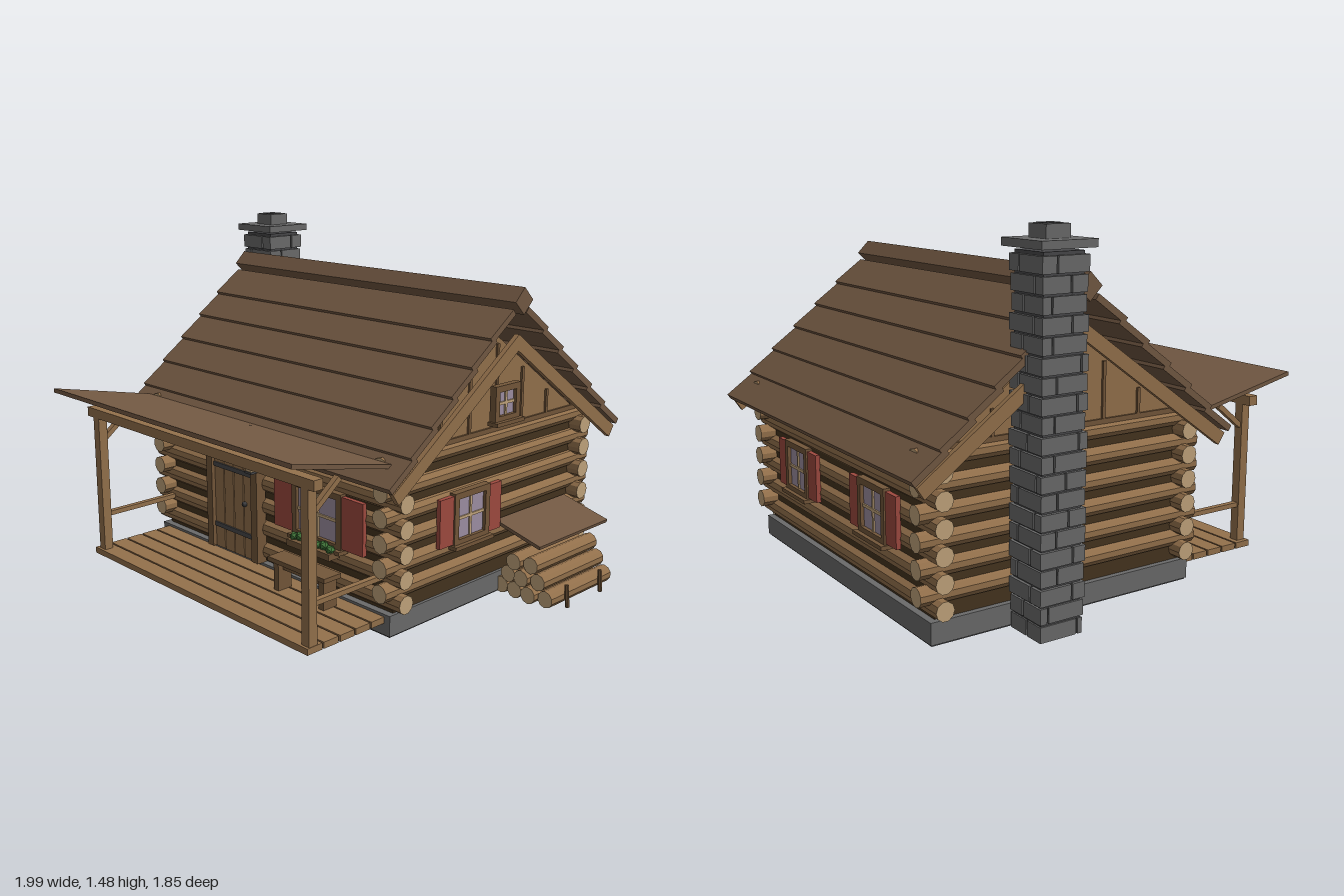
import * as THREE from 'three';

const mat = (name, color) => Object.assign(new THREE.MeshStandardMaterial({ color, flatShading: true }), { name });
const M = {
  log: mat('log wood', 0x94714c), end: mat('cut wood', 0xc2a57c), dark: mat('dark chinking', 0x45341f),
  roof: mat('roof boards', 0x735943), trim: mat('trim wood', 0x74573a), stone: mat('stone', 0x6b6b6b),
  glass: mat('glass', 0x9f90a4), shutter: mat('shutter red', 0xa04a40), leaf: mat('leaf green', 0x447a3c),
  iron: mat('iron', 0x48484a),
};

function add(parent, name, geo, m, x = 0, y = 0, z = 0) {
  const mesh = new THREE.Mesh(geo, m);
  mesh.name = name;
  mesh.position.set(x, y, z);
  parent.add(mesh);
  return mesh;
}
// Box given by its two ends on each axis
const span = (p, name, m, x0, x1, y0, y1, z0, z1) =>
  add(p, name, new THREE.BoxGeometry(x1 - x0, y1 - y0, z1 - z0), m, (x0 + x1) / 2, (y0 + y1) / 2, (z0 + z1) / 2);
// Round log with pale cut ends, lying along x or z
function log(p, name, axis, len, r, x, y, z) {
  const g = new THREE.CylinderGeometry(r, r, len, 10);
  if (axis === 'x') g.rotateZ(Math.PI / 2); else g.rotateX(Math.PI / 2);
  return add(p, name, g, [M.log, M.end, M.end], x, y, z);
}
// Outline in (z, y) extruded along x
function profile(p, name, pts, m, x, depth, z) {
  const s = new THREE.Shape(pts.map(a => new THREE.Vector2(a[0], a[1])));
  const g = new THREE.ExtrudeGeometry(s, { depth, bevelEnabled: false });
  g.rotateY(Math.PI / 2);
  return add(p, name, g, m, x, 0, z);
}
function group(parent, name) {
  const g = new THREE.Group();
  g.name = name;
  parent.add(g);
  return g;
}
// Paned window facing +z, with optional shutters of width sw
function windowUnit(parent, name, w, h, sw = 0) {
  const g = group(parent, name), b = 0.026;
  span(g, 'glass', M.glass, -w / 2 + b, w / 2 - b, -h / 2 + b, h / 2 - b, 0, 0.012);
  for (const s of [-1, 1]) {
    add(g, 'frameSide', new THREE.BoxGeometry(b, h, 0.03), M.trim, s * (w - b) / 2, 0, 0.012);
    add(g, 'frameRail', new THREE.BoxGeometry(w, b, 0.03), M.trim, 0, s * (h - b) / 2, 0.012);
    if (sw) add(g, 'shutter', new THREE.BoxGeometry(sw, h - 0.02, 0.02), M.shutter, s * (w + sw) / 2, 0, 0.01);
  }
  add(g, 'muntin', new THREE.BoxGeometry(0.012, h - 2 * b, 0.008), M.end, 0, 0, 0.014);
  add(g, 'muntin', new THREE.BoxGeometry(w - 2 * b, 0.012, 0.008), M.end, 0, 0, 0.014);
  add(g, 'sill', new THREE.BoxGeometry(w + 0.02, 0.016, 0.05), M.trim, 0, -h / 2 - 0.002, 0.02);
  return g;
}

function buildWalls(root) {
  const g = group(root, 'walls');
  span(g, 'foundation', M.stone, -0.78, 0.69, 0.01, 0.095, -0.8, 0.405);
  span(g, 'foundationBase', M.iron, -0.775, 0.685, 0.004, 0.012, -0.795, 0.4);
  span(g, 'chinking', M.dark, -0.757, 0.677, 0.09, 0.72, -0.772, 0.375);
  for (let i = 0; i < 6; i++) {
    for (const z of [0.363, -0.763]) log(g, 'longLog', 'x', 1.555, 0.038, -0.042, 0.143 + i * 0.1, z);
    for (const x of [-0.745, 0.665]) log(g, 'sideLog', 'z', 1.28, 0.038, x, 0.188 + i * 0.1, -0.2);
  }
  // Gable ends with battens, mirrored about the house centre
  for (const s of [-1, 1]) {
    const at = d => -0.04 + s * d;
    profile(g, 'gable', [[-0.55, 0.71], [0.55, 0.71], [0, 1.1]], M.log, at(0.705) - 0.02, 0.04, -0.2);
    add(g, 'gableSill', new THREE.BoxGeometry(0.015, 0.02, 1.08), M.trim, at(0.727), 0.722, -0.2);
    for (const d of [-0.335, -0.165, 0, 0.165, 0.335])
      span(g, 'batten', M.trim, at(0.728) - 0.006, at(0.728) + 0.006, 0.725, 1.07 - 0.71 * Math.abs(d), -0.207 + d, -0.193 + d);
  }
}

function buildRoof(root) {
  const g = group(root, 'roof'), tilt = 0.62;
  for (const s of [-1, 1]) {
    for (let i = 0; i < 6; i++) {
      const b = add(g, 'roofBoard', new THREE.BoxGeometry(1.677, 0.026, 0.165), M.roof,
        -0.042, 0.69 + i * 0.095, -0.2 + s * (0.652 - i * 0.109));
      b.rotation.x = s * tilt;
    }
    // Rake boards under the roof edges
    profile(g, 'rakeBoard', [[0, 1.12], [-0.7, 0.625], [-0.67, 0.58], [0, 1.055], [0.67, 0.58], [0.7, 0.625]],
      M.log, -0.04 + s * 0.82 - 0.011, 0.022, -0.2);
  }
  add(g, 'ridgeBeam', new THREE.BoxGeometry(1.7, 0.076, 0.076), M.roof, -0.04, 1.253, -0.2).rotation.x = Math.PI / 4;
}

function buildChimney(root) {
  const g = group(root, 'chimney'), cx = -0.88, cz = -0.373, n = 20, h = 0.069;
  let seed = 7;
  const rnd = () => (seed = (seed * 16807) % 2147483647) / 2147483647;
  span(g, 'mortar', M.iron, cx - 0.086, cx + 0.086, 0.008, 1.39, cz - 0.086, cz + 0.086);
  for (let i = 0; i < n; i++) {
    const y0 = 0.006 + i * h, y1 = y0 + h - 0.009, e = 0.092 + rnd() * 0.008, c = (rnd() - 0.5) * 0.07;
    // Courses of four stones, with the joints shifting from row to row
    const jx = (i % 2 ? 0.035 : -0.035) + c, jz = (i % 2 ? -0.04 : 0.04) + c;
    for (const [x0, x1] of [[-e, jx - 0.004], [jx + 0.004, e]])
      for (const [z0, z1] of [[-e, jz - 0.004], [jz + 0.004, e]])
        span(g, 'stone', M.stone, cx + x0, cx + x1, y0, y1, cz + z0, cz + z1);
  }
  span(g, 'capStone', M.stone, cx - 0.12, cx + 0.12, 1.4, 1.43, cz - 0.118, cz + 0.118);
  span(g, 'flue', M.stone, cx - 0.052, cx + 0.052, 1.43, 1.48, cz - 0.052, cz + 0.052);
  span(g, 'flueOpening', M.iron, cx - 0.033, cx + 0.033, 1.475, 1.483, cz - 0.033, cz + 0.033);
}

function buildPorch(root) {
  const g = group(root, 'porch');
  for (let i = 0; i < 5; i++) span(g, 'deckPlank', M.log, -0.74, 0.66, 0.058, 0.084, 0.727 - i * 0.082, 0.801 - i * 0.082);
  for (const x of [-0.7, 0.638]) {
    span(g, 'post', M.log, x - 0.02, x + 0.02, 0.08, 0.69, 0.75, 0.79);
    span(g, 'sideRail', M.log, x - 0.012, x + 0.012, 0.232, 0.252, 0.4, 0.76);
    add(g, 'brace', new THREE.BoxGeometry(0.024, 0.16, 0.022), M.log, x, 0.638, 0.69).rotation.x = -0.9;
  }
  span(g, 'beam', M.log, -0.76, 0.69, 0.682, 0.722, 0.748, 0.792);
  add(g, 'porchRoof', new THREE.BoxGeometry(1.53, 0.017, 0.515), M.roof, -0.04, 0.755, 0.672).rotation.x = -0.21;
  // Bench
  span(g, 'benchSeat', M.trim, 0.14, 0.475, 0.203, 0.222, 0.455, 0.545);
  for (const x of [0.18, 0.445]) span(g, 'benchLeg', M.trim, x - 0.014, x + 0.014, 0.084, 0.203, 0.465, 0.535);
  span(g, 'benchStretcher', M.trim, 0.18, 0.445, 0.17, 0.186, 0.49, 0.51);
  // Lantern
  span(g, 'lanternGlass', M.end, -0.042, -0.008, 0.53, 0.58, 0.468, 0.502);
  span(g, 'lanternBase', M.iron, -0.046, -0.004, 0.522, 0.531, 0.464, 0.506);
  add(g, 'lanternCap', new THREE.ConeGeometry(0.032, 0.025, 4), M.iron, -0.025, 0.592, 0.485).rotation.y = Math.PI / 4;
  add(g, 'lanternHook', new THREE.CylinderGeometry(0.004, 0.004, 0.13, 6), M.iron, -0.025, 0.66, 0.485);
}

function buildOpenings(root) {
  const g = group(root, 'openings');
  // Plank door
  for (let i = 0; i < 4; i++) span(g, 'doorPlank', M.log, -0.363 + i * 0.066, -0.303 + i * 0.066, 0.095, 0.6, 0.39, 0.415);
  span(g, 'doorBack', M.dark, -0.37, -0.1, 0.095, 0.6, 0.385, 0.405);
  span(g, 'doorJamb', M.trim, -0.405, -0.367, 0.095, 0.612, 0.38, 0.43);
  span(g, 'doorJamb', M.trim, -0.103, -0.063, 0.095, 0.612, 0.38, 0.43);
  span(g, 'doorHead', M.trim, -0.405, -0.063, 0.598, 0.625, 0.38, 0.43);
  for (const y of [0.2, 0.475]) span(g, 'doorStrap', M.iron, -0.363, -0.105, y - 0.01, y + 0.01, 0.414, 0.421);
  add(g, 'doorKnob', new THREE.SphereGeometry(0.012, 8, 6), M.iron, -0.152, 0.34, 0.424);

  windowUnit(g, 'frontWindow', 0.285, 0.235, 0.117).position.set(0.293, 0.405, 0.395);
  span(g, 'planter', M.trim, 0.17, 0.42, 0.258, 0.285, 0.41, 0.47);
  for (let i = 0; i < 7; i++)
    add(g, 'plant', new THREE.IcosahedronGeometry(0.021, 0), M.leaf, 0.19 + i * 0.035, 0.294 + (i % 2) * 0.008, 0.443);

  const side = windowUnit(g, 'sideWindow', 0.214, 0.22, 0.08);
  side.position.set(0.697, 0.405, -0.03);
  side.rotation.y = Math.PI / 2;
  const attic = windowUnit(g, 'atticWindow', 0.155, 0.15);
  attic.position.set(0.682, 0.84, -0.2);
  attic.position.x = 0.722;
  attic.rotation.y = Math.PI / 2;
  for (const x of [0.3, -0.38]) {
    const b = windowUnit(g, 'backWindow', 0.214, 0.22, 0.08);
    b.position.set(x, 0.405, -0.797);
    b.rotation.y = Math.PI;
  }
}

function buildWoodpile(root) {
  const g = group(root, 'woodpile');
  const rows = [[0.705, 0.78, 0.855, 0.93], [0.745, 0.817, 0.89], [0.777, 0.852]];
  rows.forEach((xs, r) => xs.forEach((x, i) =>
    log(g, 'firewood', 'z', 0.42, 0.036, x, 0.04 + r * 0.062, -0.453 + ((i + r) % 3 - 1) * 0.008)));
  for (const z of [-0.333, -0.567])
    add(g, 'stake', new THREE.CylinderGeometry(0.009, 0.009, 0.095, 6), M.trim, 0.98, 0.048, z).rotation.z = 0.08;
  add(g, 'shedRoof', new THREE.BoxGeometry(0.235, 0.014, 0.475), M.roof, 0.802, 0.294, -0.458).rotation.z = -0.25;
}

export function createModel() {
  const root = new THREE.Group();
  root.name = 'logCabin';
  for (const build of [buildWalls, buildRoof, buildChimney, buildPorch, buildOpenings, buildWoodpile]) build(root);
  return root;
}
